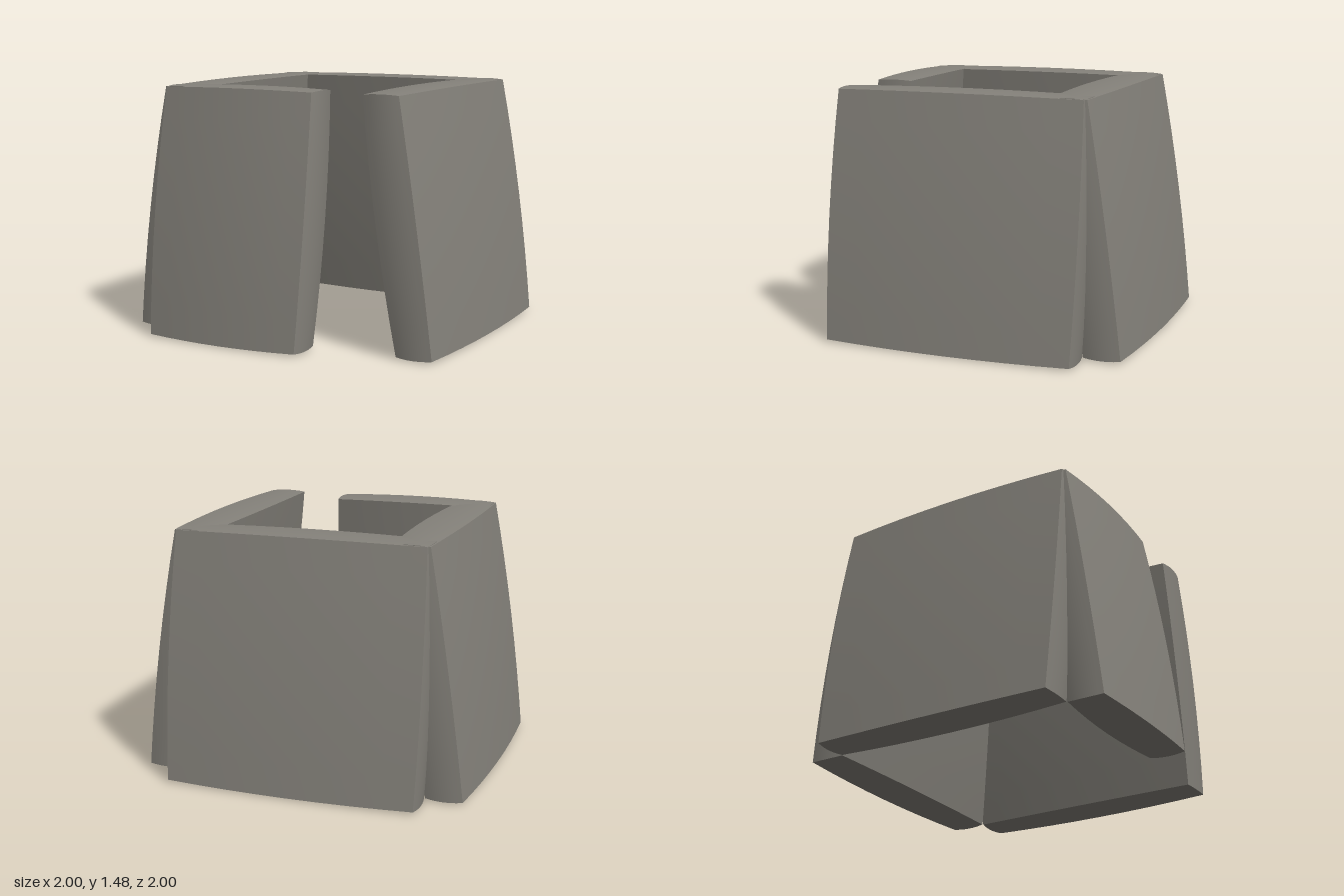
import * as THREE from 'three';

// One leaning wall slab: runs along x, outer face towards +z, every face slightly bulged.
function wallGeometry(centre, halfLength) {
  const g = new THREE.BoxGeometry(2, 2, 2, 8, 8, 6);
  const p = g.attributes.position;
  for (let i = 0; i < p.count; i++) {
    const l = p.getX(i), h = p.getY(i), t = p.getZ(i);
    const half = halfLength + 0.015 * (1 - h * h) + 0.012 * (1 - t * t);
    const halfThick = 0.135 + 0.015 * (1 - h * h) - 0.025 * l * l;
    const halfHeight = 0.74 - 0.008 * l * l - 0.006 * t * t;
    p.setXYZ(
      i,
      centre + l * half,
      0.74 + h * halfHeight,
      0.76 - 0.105 * h + t * halfThick // leans inward towards the top
    );
  }
  g.computeVertexNormals(); // smooth within each face, sharp at the box edges
  return g;
}

export function createModel() {
  const model = new THREE.Group();
  model.name = 'hutWalls';
  const stone = new THREE.MeshStandardMaterial({ color: 0x85827b });
  stone.name = 'stoneGrey';

  // name, centre along the wall, half length, turn about y
  const walls = [
    ['frontWall', -0.26, 0.49, 0], // short, leaving the doorway
    ['leftWall', 0, 0.75, Math.PI / 2],
    ['backWall', 0, 0.75, Math.PI],
    ['rightWall', 0, 0.75, -Math.PI / 2],
  ];
  for (const [name, centre, halfLength, turn] of walls) {
    const wall = new THREE.Mesh(wallGeometry(centre, halfLength), stone);
    wall.name = name;
    wall.rotation.y = turn;
    model.add(wall);
  }
  return model;
}
